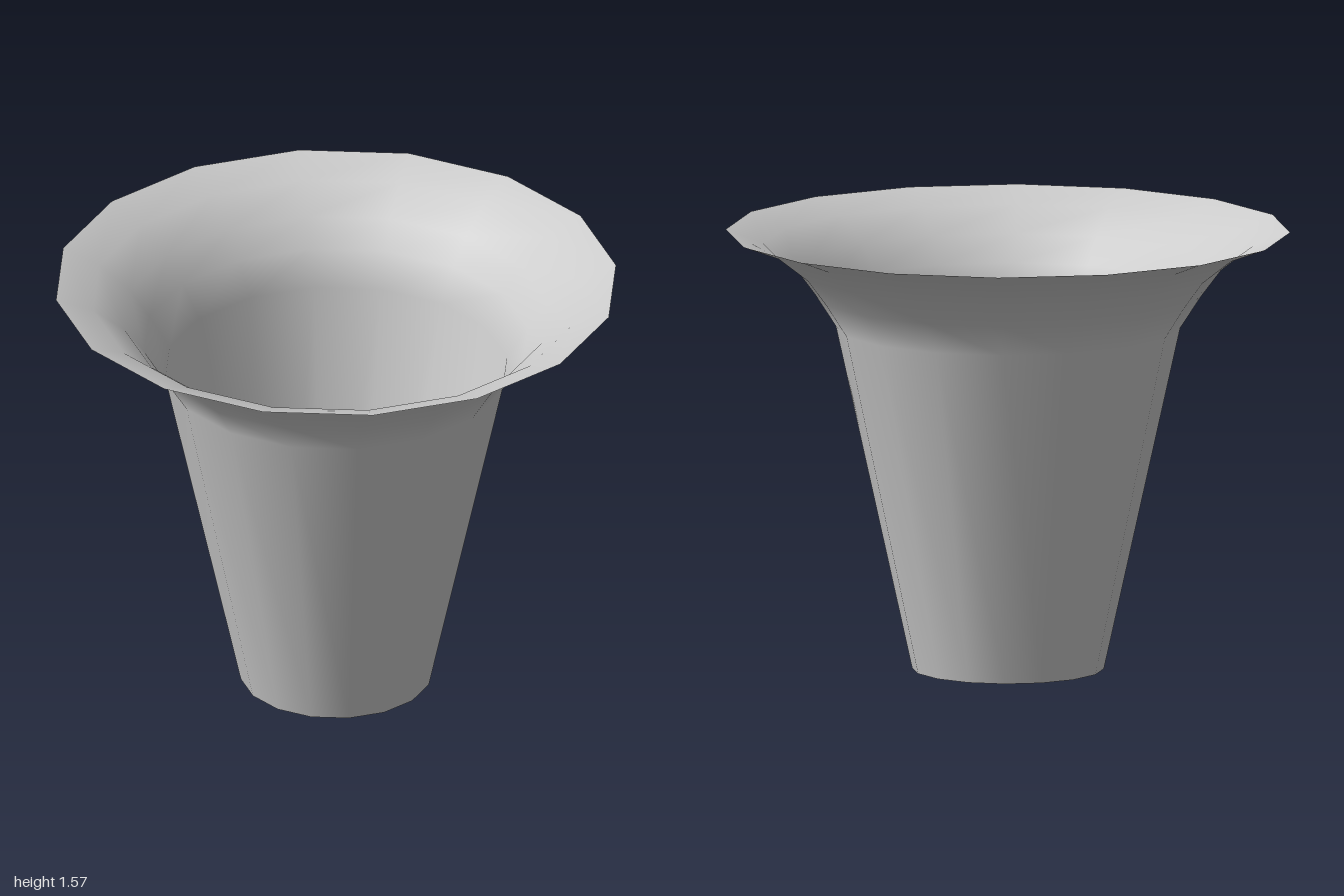
import * as THREE from 'three';

export function createModel() {
  const group = new THREE.Group();
  group.name = 'flaredFunnel';

  // Straight tapered tube that curls outward into a wide rim, open at both ends
  const profile = [
    [0.34, 0], [0.61, 1.225], [0.685, 1.34], [0.755, 1.433], [0.867, 1.52], [1, 1.57],
  ].map(([r, y]) => new THREE.Vector2(r, y));

  const material = new THREE.MeshStandardMaterial({ color: 0xcccccc, side: THREE.DoubleSide });
  const shell = new THREE.Mesh(new THREE.LatheGeometry(profile, 16), material);
  shell.name = 'flaredShell';
  group.add(shell);

  return group;
}
